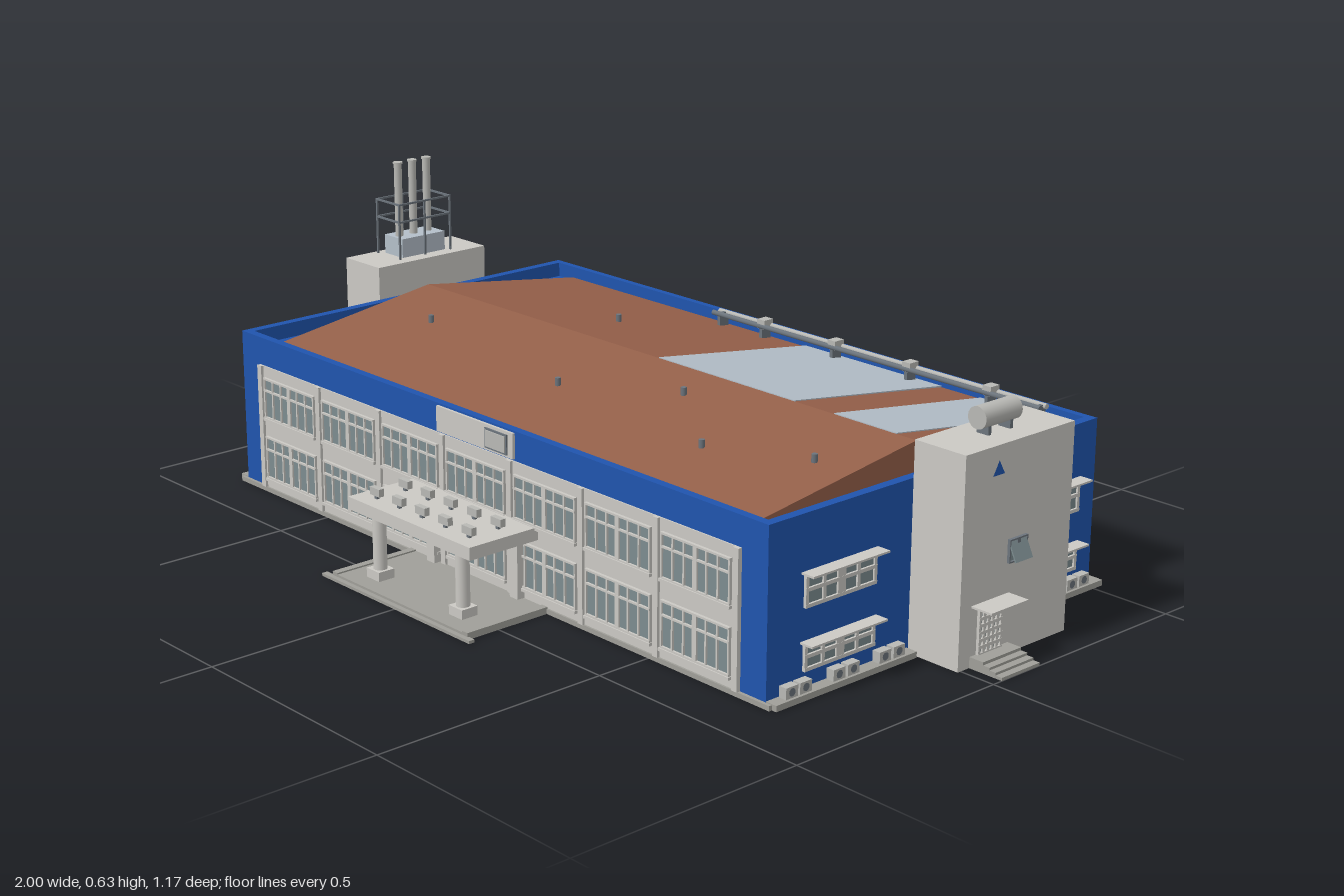
import * as THREE from 'three';

const mat = (name, color, side = THREE.FrontSide) => {
  const m = new THREE.MeshStandardMaterial({ color, side });
  m.name = name;
  return m;
};

export function createModel() {
  const blue = mat('blue wall', 0x2054ae), wall = mat('pale grey wall', 0xcbc9c4);
  const brown = mat('brown roof', 0x95604a), patch = mat('roof glazing', 0xb4bfc9);
  const glass = mat('window glass', 0x7c8c8f), paving = mat('paving', 0xa09f99);
  const tan = mat('tan wall', 0xc0b393), ochre = mat('ochre column', 0xa07c4a);
  const steel = mat('steel', 0x6c747c), pale = mat('light metal', 0xb9b9b5);

  const model = new THREE.Group();
  model.name = 'building';
  const group = (parent, name) => {
    const g = new THREE.Group();
    g.name = name;
    parent.add(g);
    return g;
  };
  const add = (parent, name, geo, m, x = 0, y = 0, z = 0) => {
    const o = new THREE.Mesh(geo, m);
    o.name = name;
    o.position.set(x, y, z);
    parent.add(o);
    return o;
  };
  // box given by its limits on each axis
  const box = (p, name, m, x0, x1, y0, y1, z0, z1) => add(p, name,
    new THREE.BoxGeometry(x1 - x0, y1 - y0, z1 - z0), m, (x0 + x1) / 2, (y0 + y1) / 2, (z0 + z1) / 2);
  const cyl = (p, name, m, r, h, x, y, z, n = 12) =>
    add(p, name, new THREE.CylinderGeometry(r, r, h, n), m, x, y, z);

  // glazed opening in the local xy plane, facing +z
  const windowUnit = (p, x0, x1, y0, y1, z, cols, rows, frame = wall, t = 0.004) => {
    const g = group(p, 'window');
    box(g, 'glass', glass, x0, x1, y0, y1, z, z + 0.002);
    for (let i = 0; i <= cols; i++) {
      const x = x0 + (x1 - x0) * i / cols, w = i * 2 === cols ? t * 1.4 : t / 2;
      box(g, 'mullion', frame, x - w, x + w, y0, y1, z, z + 0.006);
    }
    rows.forEach(f => {
      const y = y0 + (y1 - y0) * f;
      box(g, 'transom', frame, x0 - t / 2, x1 + t / 2, y - t / 2, y + t / 2, z, z + 0.0065);
    });
  };

  // ground slabs and steps
  box(model, 'baseSlab', paving, -0.815, 0.815, 0, 0.01, -0.53, 0.382);
  box(model, 'entranceSlab', paving, -0.21, 0.21, 0, 0.011, 0.38, 0.575);
  box(model, 'entranceSlabEdge', paving, -0.235, 0.23, 0, 0.006, 0.572, 0.585);
  for (const s of [-1, 1]) box(model, 'entranceKerb', paving, s * 0.205 - 0.008, s * 0.205 + 0.008, 0, 0.014, 0.38, 0.575);
  [[0.15, 0.556, 0.022], [0.17, 0.57, 0.016], [0.19, 0.58, 0.011], [0.205, 0.59, 0.006]].forEach(([w, z, h]) =>
    box(model, 'backStep', paving, -w, w, 0, h, -z, -0.52));

  // main block with parapet
  box(model, 'mainBlock', blue, -0.78, 0.78, 0.01, 0.31, -0.5, 0.357);
  for (const s of [-1, 1]) box(model, 'sideWall', blue, s * 0.79 - 0.01, s * 0.79 + 0.01, 0.01, 0.342, -0.515, 0.375);
  box(model, 'frontWall', blue, -0.78, 0.78, 0.01, 0.342, 0.357, 0.375);
  box(model, 'backWall', blue, -0.78, 0.78, 0.01, 0.342, -0.515, -0.5);

  // low gabled roof: section drawn in (-z, y), extruded along x
  const prism = (name, pts, x0, x1, m) => {
    const geo = new THREE.ExtrudeGeometry(new THREE.Shape(pts.map(p => new THREE.Vector2(...p))),
      { depth: x1 - x0, bevelEnabled: false });
    geo.rotateY(Math.PI / 2);
    return add(model, name, geo, m, x0);
  };
  const roofY = z => 0.377 - Math.abs(z + 0.075) * 0.142;
  prism('roof', [[-0.356, 0.305], [0.499, 0.305], [0.499, roofY(-0.499)], [0.075, 0.377], [-0.356, roofY(0.356)]], -0.73, 0.73, brown);
  for (const [a, b] of [[0.03, 0.415], [0.52, 0.68]])
    prism('roofGlazing', [[0.499, roofY(-0.499)], [0.499, roofY(-0.499) + 0.003], [0.075, 0.379], [0.075, 0.376]], a, b, patch);
  [[-0.29, -0.25], [-0.54, 0.065], [-0.04, 0.135], [0.21, 0.025], [0.42, 0.175], [0.64, 0.1]].forEach(([x, z]) =>
    cyl(model, 'roofVent', steel, 0.006, 0.022, x, roofY(z) + 0.005, z, 8));

  // pipe run along the back of the roof
  const run = group(model, 'roofPipeRun');
  for (const z of [-0.465, -0.485]) cyl(run, 'pipe', z < -0.47 ? pale : steel, 0.006, 0.92, 0.24, 0.347, z, 8).rotation.z = Math.PI / 2;
  for (const x of [-0.2, -0.07, 0.14, 0.35, 0.565, 0.69]) {
    box(run, 'support', steel, x - 0.004, x + 0.004, 0.315, 0.35, -0.488, -0.462);
    if (x > -0.1 && x < 0.6) box(run, 'pipeBox', pale, x - 0.011, x + 0.011, 0.342, 0.362, -0.488, -0.462);
  }

  // front and back facades, each facing local +z
  const facade = (name, bays, m, colM, z, turn) => {
    const f = group(model, name), w = 1.456 / bays;
    f.position.z = z;
    f.rotation.y = turn;
    box(f, 'panel', m, -0.73, 0.73, 0.01, 0.282, 0, 0.003);
    for (let i = 0; i < bays; i++) {
      const x0 = -0.728 + w * i + 0.016, x1 = x0 + w - 0.032;
      windowUnit(f, x0, x1, 0.17, 0.256, 0.003, 6, [0, 0.7, 1]);
      windowUnit(f, x0, x1, 0.035, 0.125, 0.003, 6, [0, 0.7, 1]);
      for (const y of [0.166, 0.03]) box(f, 'sill', wall, x0 - 0.004, x1 + 0.004, y - 0.003, y + 0.003, 0.003, 0.012);
    }
    for (let i = 0; i <= bays; i++) {
      const x = -0.728 + w * i;
      box(f, 'pilaster', colM, x - 0.007, x + 0.007, 0.01, 0.282, 0, colM === ochre ? 0.014 : 0.009);
    }
    return f;
  };
  const front = facade('frontFacade', 7, wall, wall, 0.375, 0);
  const back = facade('backFacade', 6, tan, ochre, -0.515, Math.PI);

  // back entrance posts and doors
  box(back, 'backDoorPanel', tan, -0.075, 0.075, 0.02, 0.135, 0.004, 0.012);
  windowUnit(back, -0.06, 0.06, 0.025, 0.12, 0.012, 4, [0, 0.75, 1], wall);
  for (const x of [-0.085, 0.085]) box(back, 'backDoorPost', ochre, x - 0.007, x + 0.007, 0.01, 0.14, 0, 0.022);

  // panel above the front entrance
  box(front, 'signPanel', wall, -0.12, 0.115, 0.286, 0.338, 0, 0.006);
  box(front, 'signFrame', steel, 0.034, 0.1, 0.291, 0.332, 0.006, 0.009);
  box(front, 'signFace', pale, 0.038, 0.096, 0.295, 0.328, 0.009, 0.011);

  // entrance canopy on two columns, with floodlights on top
  const canopy = group(model, 'entranceCanopy');
  box(canopy, 'canopySlab', wall, -0.195, 0.185, 0.142, 0.168, 0.378, 0.545);
  for (const x of [-0.13, 0.13]) {
    box(canopy, 'columnBase', wall, x - 0.02, x + 0.02, 0.01, 0.03, 0.5, 0.538);
    cyl(canopy, 'column', wall, 0.014, 0.112, x, 0.086, 0.519, 16);
    box(canopy, 'wallPier', wall, x - 0.012, x + 0.012, 0.01, 0.142, 0.378, 0.395);
  }
  for (const z of [0.44, 0.51]) for (let i = -2; i <= 2; i++) {
    const x = i * 0.072 - 0.003;
    box(canopy, 'floodlightStand', steel, x - 0.004, x + 0.004, 0.168, 0.18, z - 0.003, z + 0.003);
    box(canopy, 'floodlight', pale, x - 0.015, x + 0.015, 0.175, 0.191, z - 0.006, z + 0.006);
  }

  // both ends: local z points outwards, local x runs front to back
  for (const s of [1, -1]) {
    const end = group(model, s > 0 ? 'leftEnd' : 'rightEnd');
    end.position.x = s * 0.8;
    end.rotation.y = s * Math.PI / 2;
    const span = (a, b) => s > 0 ? [a, b] : [-b, -a];
    const put = (name, m, a, b, y0, y1, z0, z1) => box(end, name, m, ...span(a, b), y0, y1, z0, z1);

    put('sideLedge', paving, -0.375, -0.012, 0, 0.012, 0, 0.026);
    put('sideLedge', paving, 0.3, 0.525, 0, 0.012, 0, 0.026);
    for (const [a, b, n] of [[-0.282, -0.107, 4], [0.347, 0.463, 3]]) {
      for (const [y0, y1] of [[0.168, 0.224], [0.047, 0.092]]) {
        windowUnit(end, ...span(a, b), y0, y1, 0, n, [0, 0.55, 1], wall, 0.007);
        put('awning', wall, a - 0.01, b + 0.01, y1 + 0.005, y1 + 0.009, 0, 0.03);
      }
    }
    // air conditioners with round fan faces
    for (const u of [-0.33, -0.295, -0.21, -0.173, -0.09, -0.053, 0.342, 0.378, 0.44, 0.476]) {
      put('airConditioner', pale, u - 0.015, u + 0.015, 0.012, 0.034, 0.002, 0.02);
      add(end, 'fan', new THREE.CircleGeometry(0.008, 12), steel, s * u, 0.023, 0.0205);
    }

    // tower
    put('tower', wall, -0.008, 0.292, 0, 0.415, 0, 0.122);
    const tri = new THREE.Shape([[-0.016, 0], [0.016, 0], [0, 0.028]].map(p => new THREE.Vector2(...p)));
    add(end, 'triangleMark', new THREE.ShapeGeometry(tri), blue, s * 0.083, 0.358, 0.1225);
    windowUnit(end, ...span(0.118, 0.165), 0.182, 0.225, 0.122, 2, [0, 1], steel, 0.003);
    const sash = box(end, 'openSash', glass, ...span(0.118, 0.165), 0.183, 0.223, 0.131, 0.134);
    sash.rotation.x = -0.45;
    windowUnit(end, ...span(0.043, 0.103), 0.022, 0.106, 0.122, 5, [0, 0.17, 0.33, 0.5, 0.67, 0.83, 1], wall, 0.006);
    put('doorCanopy', wall, 0.023, 0.125, 0.117, 0.121, 0.122, 0.17);
    [[0.155, 0.022], [0.17, 0.016], [0.185, 0.011], [0.2, 0.006]].forEach(([z, h]) =>
      put('doorStep', paving, 0.023, 0.128, 0, h, 0.122, z));
  }

  // horizontal tank on the left tower
  const tank = group(model, 'tank');
  cyl(tank, 'tankBody', pale, 0.022, 0.1, 0.86, 0.449, -0.14, 20).rotation.x = Math.PI / 2;
  for (const z of [-0.11, -0.17]) box(tank, 'tankLeg', steel, 0.846, 0.874, 0.415, 0.435, z - 0.004, z + 0.004);

  // chimney pipes with guard rail on the right tower
  const stack = group(model, 'chimneyStack');
  box(stack, 'stackBase', patch, -0.9, -0.835, 0.415, 0.458, -0.205, -0.085);
  for (const z of [-0.102, -0.142, -0.182]) {
    cyl(stack, 'chimneyPipe', pale, 0.009, 0.17, -0.868, 0.54, z, 16);
    cyl(stack, 'chimneyCap', pale, 0.011, 0.004, -0.868, 0.626, z, 16);
  }
  const [x0, x1, z0, z1, r] = [-0.909, -0.827, -0.215, -0.072, 0.002];
  for (const x of [x0, x1]) {
    for (const z of [z0, -0.143, z1]) box(stack, 'railPost', steel, x - r, x + r, 0.415, 0.542, z - r, z + r);
    for (const y of [0.5, 0.54]) box(stack, 'sideRail', steel, x - r, x + r, y - r, y + r, z0, z1);
  }
  for (const z of [z0, z1]) for (const y of [0.5, 0.54])
    box(stack, 'crossRail', steel, x0, x1, y - r, y + r, z - r, z + r);

  return model;
}
